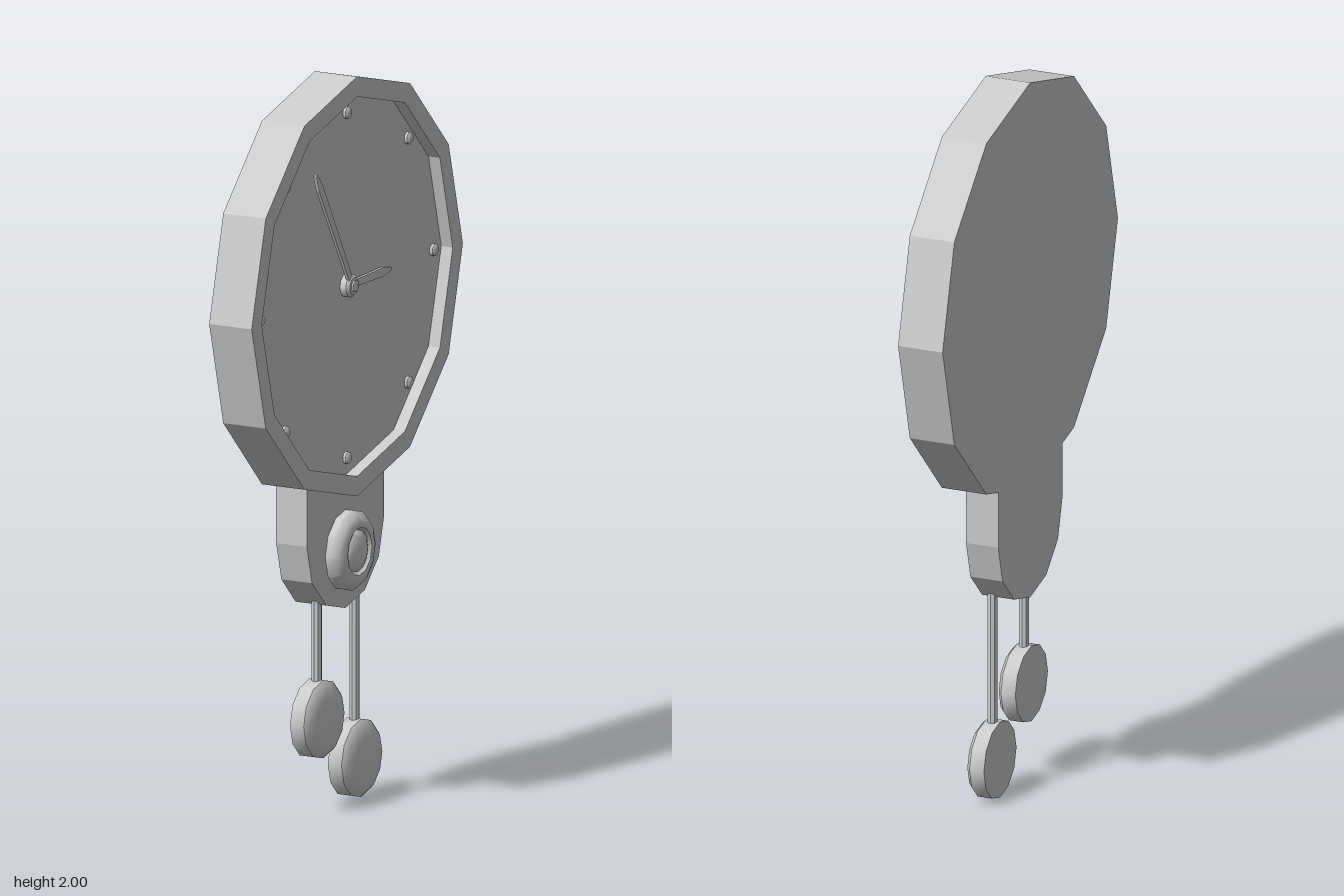
import * as THREE from 'three';
import { toCreasedNormals } from 'three/addons/utils/BufferGeometryUtils.js';

const flat = new THREE.MeshStandardMaterial({ color: 0xcccccc, flatShading: true });
const smooth = new THREE.MeshStandardMaterial({ color: 0xcccccc });

export function createModel() {
  const model = new THREE.Group();
  // Built with the dial facing local +z, then turned to face +x
  const clock = new THREE.Group();
  clock.name = 'wallClock';
  clock.rotation.y = Math.PI / 2;
  model.add(clock);

  const add = (name, geometry, material, x = 0, y = 0, z = 0) => {
    const mesh = new THREE.Mesh(geometry, material);
    mesh.name = name;
    mesh.position.set(x, y, z);
    clock.add(mesh);
    return mesh;
  };

  // Turned part about the z axis; profile is [radius, z] from back to front
  const turned = (profile, sides = 12) =>
    new THREE.LatheGeometry(profile.map(([r, z]) => new THREE.Vector2(r, z)), sides).rotateX(Math.PI / 2);
  const creased = (profile, sides) => toCreasedNormals(turned(profile, sides), 0.65);

  const dialY = 1.425;
  const dialZ = 0.02;

  // Twelve-sided case with raised rim and recessed dial
  add('caseAndDial', turned([
    [0, -0.075], [0.575, -0.075], [0.575, 0.055], [0.52, 0.055], [0.52, dialZ], [0, dialZ],
  ]), flat, 0, dialY);

  // Hour studs
  const stud = creased([[0.017, 0], [0.017, 0.008], [0.01, 0.014], [0, 0.016]], 10);
  for (let i = 0; i < 8; i++) {
    const a = (i * Math.PI) / 4;
    add('hourStud', stud, smooth, 0.473 * Math.sin(a), dialY + 0.473 * Math.cos(a), dialZ);
  }

  // Pointed hands, angle measured clockwise from twelve
  const addHand = (name, length, angle, z) => {
    const s = new THREE.Shape();
    s.moveTo(-0.009, 0);
    s.lineTo(0.009, 0);
    s.lineTo(0.012, length - 0.045);
    s.lineTo(0.004, length);
    s.lineTo(-0.004, length);
    s.lineTo(-0.012, length - 0.045);
    s.closePath();
    const g = new THREE.ExtrudeGeometry(s, { depth: 0.009, bevelEnabled: false });
    add(name, g, flat, 0, dialY, z).rotation.z = -angle;
  };
  addHand('minuteHand', 0.395, -0.525, dialZ + 0.014);
  addHand('hourHand', 0.228, Math.PI / 2, dialZ + 0.004);

  // Hub holding the hands
  add('handHub', creased([
    [0.032, 0], [0.032, 0.018], [0.024, 0.026], [0.016, 0.026], [0.016, 0.031], [0.009, 0.034], [0, 0.035],
  ]), smooth, 0, dialY, dialZ);

  // Lower bracket with a faceted round end
  const outline = [new THREE.Vector2(0.21, 0.93), new THREE.Vector2(-0.21, 0.93)];
  for (let i = 0; i <= 6; i++) {
    const a = Math.PI + (i * Math.PI) / 6;
    outline.push(new THREE.Vector2(0.21 * Math.cos(a), 0.75 + 0.21 * Math.sin(a)));
  }
  add('lowerBracket', new THREE.ExtrudeGeometry(new THREE.Shape(outline), { depth: 0.094, bevelEnabled: false }),
    flat, 0, 0, -0.075);

  // Knob: rounded ring around a domed centre
  add('knob', creased([
    [0.11, 0.019], [0.11, 0.04], [0.098, 0.056], [0.08, 0.065], [0.066, 0.063],
    [0.058, 0.053], [0.056, 0.057], [0.04, 0.065], [0.02, 0.069], [0, 0.07],
  ]), smooth, 0, 0.7);

  // Two hanging rods with weights
  const weight = creased([
    [0, -0.033], [0.107, -0.033], [0.107, 0.009], [0.094, 0.021], [0.06, 0.026], [0, 0.028],
  ]);
  for (const [x, y] of [[-0.103, 0.255], [0.103, 0.107]]) {
    const top = 0.62;
    const rod = new THREE.CylinderGeometry(0.014, 0.014, top - y, 8);
    add('weightRod', toCreasedNormals(rod, 0.6), smooth, x, (top + y) / 2, -0.011);
    add('weight', weight, smooth, x, y);
  }

  return model;
}
